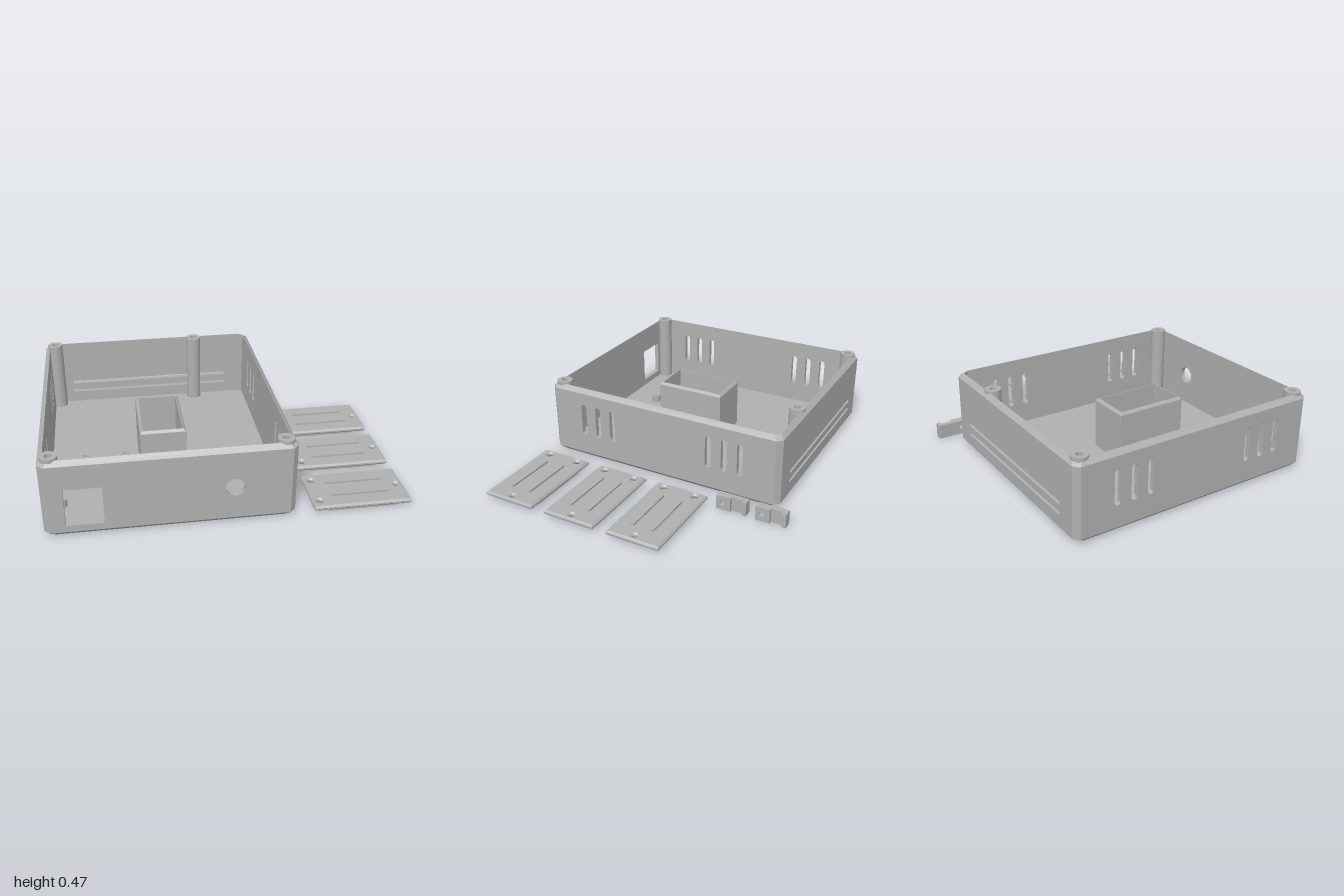
import * as THREE from 'three';

const X0 = -1, X1 = 0.34, Z0 = -0.71, Z1 = 0.8; // tray footprint
const T = 0.028, C = 0.03, RIM = 0.43, TOP = 0.455;

export function createModel() {
  const model = new THREE.Group();
  const grey = new THREE.MeshStandardMaterial({ color: 0xb0b0b0 });
  grey.name = 'plastic grey';

  const add = (name, geo, parent = model) => {
    const m = new THREE.Mesh(geo, grey);
    m.name = name;
    parent.add(m);
    return m;
  };
  const group = (name) => {
    const g = new THREE.Group();
    g.name = name;
    model.add(g);
    return g;
  };
  const box = (x0, x1, y0, y1, z0, z1) =>
    new THREE.BoxGeometry(x1 - x0, y1 - y0, z1 - z0)
      .translate((x0 + x1) / 2, (y0 + y1) / 2, (z0 + z1) / 2);

  // 2D outlines
  const poly = (pts) => new THREE.Shape(pts.map(([x, y]) => new THREE.Vector2(x, y)));
  const rect = (x0, x1, y0, y1) => poly([[x0, y0], [x1, y0], [x1, y1], [x0, y1]]);
  const circle = (x, y, r) => new THREE.Shape().absarc(x, y, r, 0, Math.PI * 2);
  const slot = (x0, x1, y0, y1) => { // rounded ends along the longer side
    const s = new THREE.Shape();
    if (x1 - x0 > y1 - y0) {
      const r = (y1 - y0) / 2;
      s.absarc(x1 - r, y0 + r, r, -Math.PI / 2, Math.PI / 2);
      s.absarc(x0 + r, y0 + r, r, Math.PI / 2, Math.PI * 1.5);
    } else {
      const r = (x1 - x0) / 2;
      s.absarc(x0 + r, y1 - r, r, 0, Math.PI);
      s.absarc(x0 + r, y0 + r, r, Math.PI, Math.PI * 2);
    }
    return s;
  };
  const extrude = (shape, depth, holes = [], bevel = 0) => {
    shape.holes.push(...holes);
    return new THREE.ExtrudeGeometry(shape, {
      depth: depth - 2 * bevel, curveSegments: 16, bevelEnabled: bevel > 0,
      bevelSize: bevel, bevelThickness: bevel, bevelOffset: -bevel, bevelSegments: 1,
    }).translate(0, 0, bevel);
  };
  // plan: shape in (x, -z) raised along y; side: shape in (z, y) running from x to x - depth
  const plan = (shape, y0, y1, holes, bevel) =>
    extrude(shape, y1 - y0, holes, bevel).rotateX(-Math.PI / 2).translate(0, y0, 0);
  const side = (shape, x, depth, holes) =>
    extrude(shape, depth, holes).rotateY(-Math.PI / 2).translate(x, 0, 0);

  // Rectangle with cut corners, counter-clockwise from above, in (x, -z)
  const outline = (x0, x1, z0, z1, inset, cut) => {
    const a = x0 + inset, b = x1 - inset, c = -z1 + inset, d = -z0 - inset;
    return [[a + cut, c], [b - cut, c], [b, c + cut], [b, d - cut],
      [b - cut, d], [a + cut, d], [a, d - cut], [a, c + cut]];
  };
  // Flat-faced band through [inset, y] steps
  const band = (x0, x1, z0, z1, cut, steps) => {
    const pos = [];
    for (let k = 0; k + 1 < steps.length; k++) {
      const [lo, hi] = [steps[k], steps[k + 1]].map(([inset, y]) =>
        outline(x0, x1, z0, z1, inset, cut).map(([x, w]) => [x, y, -w]));
      for (let i = 0; i < 8; i++) {
        const j = (i + 1) % 8;
        pos.push(...lo[i], ...lo[j], ...hi[j], ...lo[i], ...hi[j], ...hi[i]);
      }
    }
    const g = new THREE.BufferGeometry();
    g.setAttribute('position', new THREE.Float32BufferAttribute(pos, 3));
    g.computeVertexNormals();
    return g;
  };

  // Tray floor with chamfered edge, and screw holes under the posts
  const tray = group('tray');
  const posts = [[-0.94, -0.65], [-0.03, -0.65], [-0.94, 0.74], [0.28, 0.74]];
  add('floor', plan(poly(outline(X0, X1, Z0, Z1, C, C)), 0, C,
    posts.map(([x, z]) => circle(x, -z, 0.016))), tray);
  add('bottomChamfer', band(X0, X1, Z0, Z1, C, [[C, 0], [0, C]]), tray);

  // Walls
  add('frontWall', extrude(rect(X0 + C, X1 - C, C, RIM), T,
    [rect(-0.885, -0.685, 0.07, 0.29), circle(0.005, 0.22, 0.052)])
    .translate(0, 0, Z1 - T), tray);
  add('backWall', extrude(rect(X0 + C, X1 - C, C, RIM), T,
    [0.11, 0.17].map((y) => slot(-0.85, 0.19, y - 0.01, y + 0.01)))
    .translate(0, 0, Z0), tray);
  for (const [name, x] of [['leftWall', X1], ['rightWall', X0 + T]]) {
    const vents = [0.57, 0.47, 0.37, -0.27, -0.37, -0.47]
      .map((z) => slot(z - 0.018, z + 0.018, 0.155, 0.355));
    add(name, side(rect(Z0 + C, Z1 - C, C, RIM), x, T, vents), tray);
  }

  // Chamfered corner columns
  for (const [x, sx] of [[X0, 1], [X1, -1]])
    for (const [w, sw] of [[-Z1, 1], [-Z0, -1]])
      add('cornerColumn', plan(poly([[x, w + sw * C], [x + sx * C, w],
        [x + sx * C, w + sw * C]]), C, RIM), tray);

  // Sloping rim
  add('rim', band(X0, X1, Z0, Z1, C,
    [[0, RIM], [0.025, TOP], [T, TOP], [T, RIM]]), tray);

  // Lid posts with blind screw holes
  for (const [x, z] of posts) {
    add('lidPost', plan(circle(x, -z, 0.046), C, 0.465, [circle(x, -z, 0.02)]), tray);
    add('postHoleBottom', new THREE.CylinderGeometry(0.022, 0.022, 0.02, 24)
      .translate(x, 0.22, z), tray);
  }

  // Small board standoffs
  for (const [x, z] of [[-0.78, 0.13], [-0.545, 0.13], [-0.91, 0.555], [-0.5, 0.565]])
    add('standoff', plan(circle(x, -z, 0.027), C, 0.075, [circle(x, -z, 0.011)]), tray);

  // Open inner compartment
  add('compartment', band(-0.46, -0.2, -0.08, 0.355, 0.001,
    [[0, C], [0, 0.322], [0.013, 0.335], [0.018, 0.335], [0.018, C]]), tray);

  // Three loose cover plates
  for (const z of [-0.167, 0.235, 0.64]) {
    const plate = group('coverPlate');
    add('platePanel', plan(rect(0.445, 0.995, -0.16, 0.16), 0.015, 0.045,
      [circle(0.487, 0.1, 0.018), circle(0.487, -0.1, 0.018), circle(0.957, 0, 0.014)],
      0.01), plate);
    add('plateBase', box(0.53, 0.91, 0, 0.02, -0.14, 0.14), plate);
    for (const s of [-1, 1])
      add('plateRib', plan(slot(0.565, 0.89, s * 0.06 - 0.01, s * 0.06 + 0.01),
        0.04, 0.056), plate);
    plate.position.z = z;
  }

  // Two loose clips
  for (const z of [-0.395, -0.63]) {
    const clip = group('clip');
    add('clipBlock', side(rect(-0.085, 0, 0, 0.085), 0.475, 0.05,
      [circle(-0.036, 0.043, 0.016)]), clip);
    add('clipWeb', box(0.425, 0.455, 0, 0.085, -0.156, -0.084), clip);
    add('clipEnd', box(0.425, 0.475, 0, 0.085, -0.18, -0.155), clip);
    clip.position.z = z;
  }

  return model;
}
